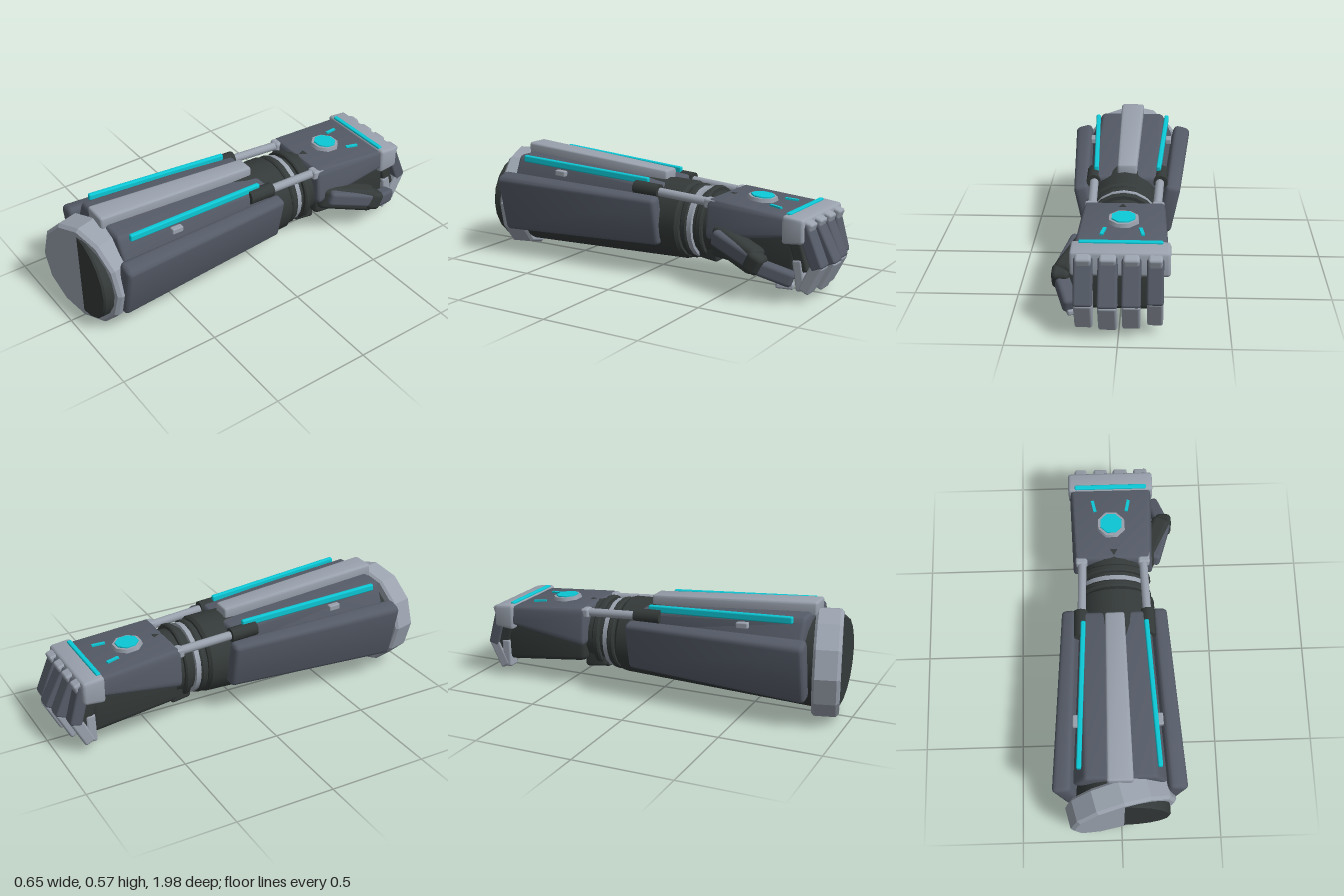
import * as THREE from 'three';
import { toCreasedNormals } from 'three/addons/utils/BufferGeometryUtils.js';
import { RoundedBoxGeometry } from 'three/addons/geometries/RoundedBoxGeometry.js';

const paint = (name, color) => {
  const m = new THREE.MeshStandardMaterial({ color });
  m.name = name;
  return m;
};

export function createModel() {
  const light = paint('light metal', 0x9aa2ae);
  const panel = paint('slate panel', 0x555b67);
  const dark = paint('dark rubber', 0x343a39);
  const glow = paint('cyan accent', 0x0cc8d6);
  const arm = new THREE.Group();
  arm.name = 'mechanicalForearm';

  const add = (name, geo, mat, parent = arm) => {
    const m = new THREE.Mesh(geo, mat);
    m.name = name;
    parent.add(m);
    return m;
  };

  // Rounded block lofted between two quads [bottomLeft, bottomRight, topRight, topLeft]
  const hex = (name, mat, z0, A, z1, B, r = 0.015) => {
    const w = A[1][0] - A[0][0], h = A[3][1] - A[0][1], d = z1 - z0;
    const g = new RoundedBoxGeometry(w, h, d, 2, Math.min(r, w * 0.45, h * 0.45));
    const p = g.attributes.position;
    const at = (Q, k, u, v) =>
      (1 - v) * ((1 - u) * Q[0][k] + u * Q[1][k]) + v * ((1 - u) * Q[3][k] + u * Q[2][k]);
    for (let i = 0; i < p.count; i++) {
      const u = p.getX(i) / w + 0.5, v = p.getY(i) / h + 0.5, t = p.getZ(i) / d + 0.5;
      p.setXYZ(i, (1 - t) * at(A, 0, u, v) + t * at(B, 0, u, v),
        (1 - t) * at(A, 1, u, v) + t * at(B, 1, u, v), z0 + t * d);
    }
    return add(name, toCreasedNormals(g, 0.5), mat);
  };
  const rect = (x0, x1, y0, y1) => [[x0, y0], [x1, y0], [x1, y1], [x0, y1]];
  const side = (s, Q) => s > 0 ? Q : [Q[1], Q[0], Q[3], Q[2]].map(([x, y]) => [-x - 0.014, y]);

  // Rounded bar running from a to b
  const bar = (name, mat, a, b, w, t, r = 0.012) => {
    const A = new THREE.Vector3(...a), B = new THREE.Vector3(...b);
    const m = add(name, new RoundedBoxGeometry(w, t, A.distanceTo(B), 2, r), mat);
    m.position.copy(A).lerp(B, 0.5);
    m.lookAt(B);
    return m;
  };
  const rod = (name, mat, a, b, r) => {
    const A = new THREE.Vector3(...a), B = new THREE.Vector3(...b);
    const m = add(name, new THREE.CylinderGeometry(r, r, A.distanceTo(B), 10), mat);
    m.position.copy(A).lerp(B, 0.5);
    m.quaternion.setFromUnitVectors(new THREE.Vector3(0, 1, 0), B.sub(A).normalize());
    return m;
  };
  // Turned part along z, profile as [radius, z] with z rising
  const turned = (name, mat, pts, n, crease = 0.5) => {
    const g = new THREE.LatheGeometry(pts.map(([r, z]) => new THREE.Vector2(r, z)), n);
    g.rotateX(Math.PI / 2);
    const m = add(name, toCreasedNormals(g, crease), mat);
    m.position.set(0, 0.265, 0);
    return m;
  };

  // Forearm core and wrist
  const core = turned('forearmCore', dark,
    [[0, -0.2], [0.185, -0.2], [0.197, -0.185], [0.232, 0.92], [0.225, 0.93], [0, 0.93]], 20);
  core.position.x = 0.005;
  turned('wristCore', dark, [[0, -0.42], [0.165, -0.42], [0.165, -0.15], [0, -0.15]], 20);
  for (const z of [-0.225, -0.31]) {
    turned('wristRing', dark,
      [[0.15, z - 0.018], [0.182, z - 0.018], [0.188, z - 0.01], [0.188, z + 0.01], [0.182, z + 0.018], [0.15, z + 0.018]], 20);
  }
  turned('wristBand', light, [[0.15, -0.272], [0.18, -0.268], [0.18, -0.238], [0.15, -0.235]], 20);

  // Slanted elbow collar
  const yaw = 0.245;
  const collar = turned('elbowCollar', light,
    [[0, -0.065], [0.255, -0.065], [0.267, -0.053], [0.267, 0.05], [0.252, 0.065], [0, 0.065]], 12, 0.1);
  collar.rotation.y = yaw;
  collar.position.set(0.012 - 0.065 * Math.sin(yaw), 0.265, 0.93 - 0.065 * Math.cos(yaw));

  // Upper shell and spine
  hex('upperShell', panel,
    -0.07, [[-0.185, 0.34], [0.175, 0.34], [0.17, 0.452], [-0.18, 0.452]],
    0.8, [[-0.24, 0.38], [0.23, 0.38], [0.165, 0.525], [-0.175, 0.525]], 0.02);
  hex('spineBar', light, -0.045, rect(-0.055, 0.042, 0.44, 0.505), 0.82, rect(-0.07, 0.056, 0.5, 0.573), 0.012);

  for (const s of [1, -1]) {
    const X = x => s * x - 0.007;
    // Flared side plates
    hex('sidePlate', panel,
      -0.1, side(s, [[0.14, 0.165], [0.212, 0.16], [0.262, 0.4], [0.19, 0.415]]),
      0.835, side(s, [[0.17, 0.14], [0.255, 0.125], [0.325, 0.425], [0.232, 0.45]]), 0.022);
    // Light strips, pistons and clips
    bar('lightStrip', glow, [X(0.157), 0.468, -0.01], [X(0.193), 0.512, 0.745], 0.024, 0.036, 0.008);
    rod('pistonSocket', dark, [X(0.168), 0.427, -0.08], [X(0.17), 0.435, 0.06], 0.036);
    rod('pistonRod', light, [X(0.165), 0.425, -0.05], [X(0.155), 0.402, -0.4], 0.022);
    bar('pistonBracket', light, [X(0.16), 0.4, -0.42], [X(0.16), 0.405, -0.34], 0.06, 0.05);
    bar('shellClip', light, [X(0.203), 0.458, 0.47], [X(0.205), 0.462, 0.53], 0.03, 0.03, 0.006);
  }

  // Hand
  hex('palm', dark, -0.83, rect(-0.19, 0.18, 0.09, 0.36), -0.37, rect(-0.18, 0.17, 0.14, 0.39), 0.03);
  hex('palmHeel', dark, -0.39, rect(-0.14, 0.13, 0.1, 0.3), -0.28, rect(-0.13, 0.12, 0.11, 0.3));
  hex('handPlate', panel,
    -0.785, [[-0.225, 0.3], [0.21, 0.3], [0.2, 0.396], [-0.215, 0.396]],
    -0.36, [[-0.215, 0.23], [0.205, 0.23], [0.185, 0.432], [-0.2, 0.432]], 0.018);
  hex('knuckleBar', light, -0.88, rect(-0.23, 0.215, 0.28, 0.395), -0.77, rect(-0.23, 0.215, 0.27, 0.408));
  bar('knuckleStrip', glow, [-0.195, 0.402, -0.788], [0.18, 0.402, -0.788], 0.024, 0.024, 0.006);

  // Back-of-hand emblem and dashes on the sloping plate
  const badge = new THREE.Group();
  badge.name = 'handLamp';
  badge.position.set(-0.01, 0.413, -0.56);
  badge.rotation.x = -0.083;
  arm.add(badge);
  const oct = (r0, r1, h) => new THREE.CylinderGeometry(r0, r1, h, 8).rotateY(Math.PI / 8);
  add('lampBezel', oct(0.072, 0.082, 0.04), light, badge);
  add('lampLens', oct(0.058, 0.064, 0.052), glow, badge);
  for (const s of [1, -1]) {
    const dash = add('dashMark', new THREE.BoxGeometry(0.016, 0.009, 0.066), glow, badge);
    dash.position.set(s * 0.088, 0.006, -0.115);
    dash.rotation.y = -s * 0.2;
  }

  // Curled fingers: [centre x, width, reach]
  for (const [x, w, reach] of [[-0.163, 0.075, -0.95], [-0.058, 0.085, -0.985], [0.046, 0.088, -1], [0.154, 0.085, -0.98]]) {
    const z = reach + 0.035;
    bar('fingerKnuckle', light, [x, 0.365, -0.85], [x, 0.345, -0.905], w * 0.85, 0.06);
    bar('fingerProximal', panel, [x, 0.365, -0.86], [x, 0.165, z], w, 0.062);
    bar('fingerMiddle', light, [x, 0.19, z], [x, 0.05, z + 0.07], w * 0.96, 0.06);
    bar('fingerTip', light, [x, 0.05, z + 0.08], [x, 0.2, -0.84], w * 0.9, 0.05);
    bar('fingerWeb', dark, [x, 0.3, -0.82], [x, 0.14, -0.87], w * 0.8, 0.06);
  }

  // Thumb
  bar('thumbBase', dark, [0.15, 0.25, -0.4], [0.265, 0.18, -0.68], 0.1, 0.13, 0.03);
  bar('thumbPlate', panel, [0.212, 0.26, -0.42], [0.282, 0.19, -0.66], 0.06, 0.08, 0.02);
  bar('thumbJoint', dark, [0.272, 0.2, -0.63], [0.275, 0.165, -0.71], 0.085, 0.1, 0.025);
  bar('thumbTip', panel, [0.27, 0.165, -0.68], [0.215, 0.11, -0.84], 0.07, 0.075, 0.02);
  bar('thumbPad', light, [0.235, 0.085, -0.76], [0.205, 0.08, -0.84], 0.05, 0.03, 0.01);

  return arm;
}
